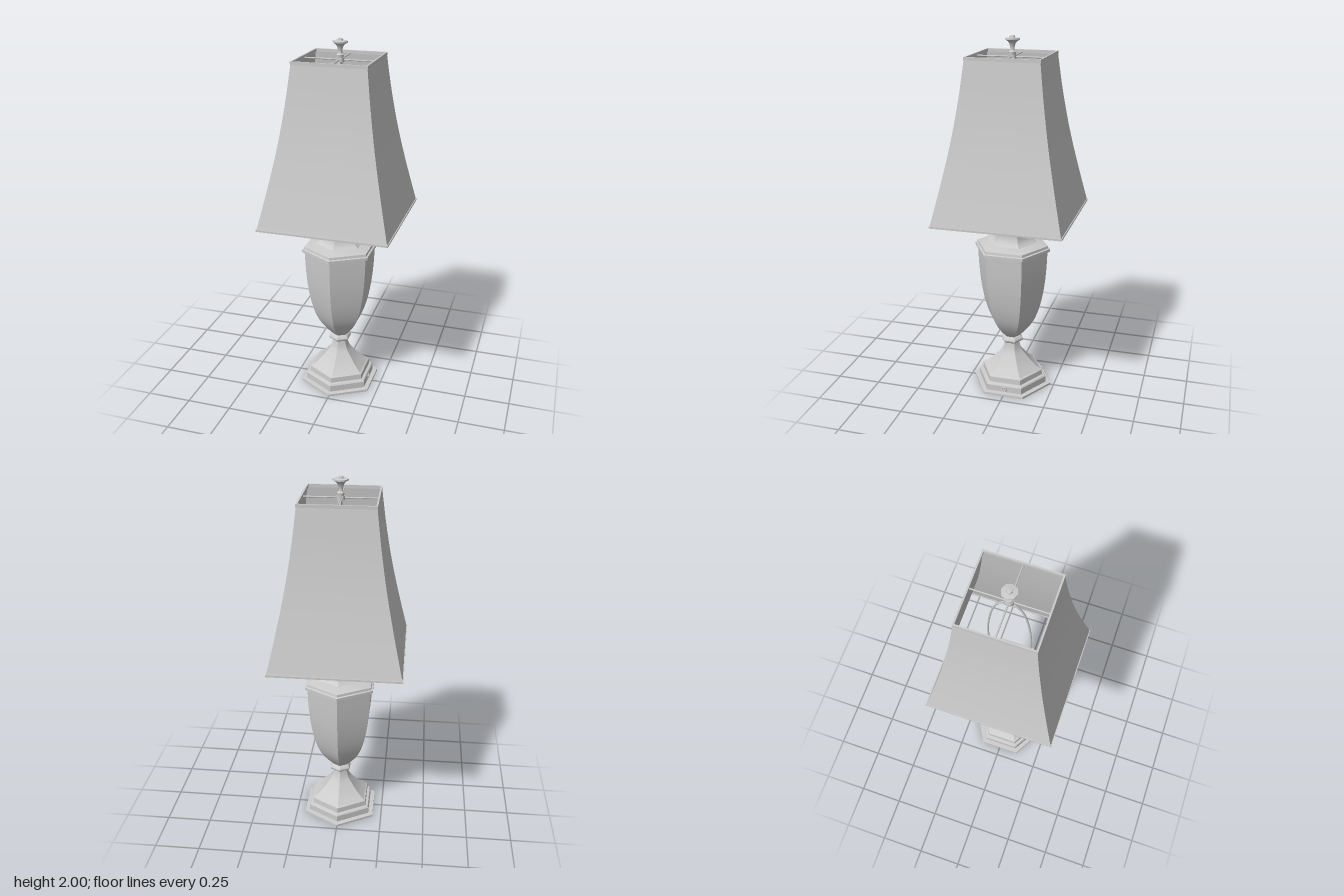
import * as THREE from 'three';
import { toCreasedNormals } from 'three/addons/utils/BufferGeometryUtils.js';

const material = new THREE.MeshStandardMaterial({ color: 0xcccccc });
const thin = new THREE.MeshStandardMaterial({ color: 0xcccccc, side: THREE.DoubleSide });

function add(parent, name, geometry, mat = material) {
  const mesh = new THREE.Mesh(geometry, mat);
  mesh.name = name;
  parent.add(mesh);
  return mesh;
}

// Smooth run of profile points through a few [halfWidth, y] pairs
const curve = (pairs, n) =>
  new THREE.SplineCurve(pairs.map(([r, y]) => new THREE.Vector2(r, y))).getPoints(n).map(p => [p.x, p.y]);

// Turned shape with flat sides; widths are measured to the middle of a side
function prism(pairs, sides, start = 0, crease = 0.5) {
  const k = 1 / Math.cos(Math.PI / sides);
  const points = pairs.map(([r, y]) => new THREE.Vector2(r * k, y));
  return toCreasedNormals(new THREE.LatheGeometry(points, sides, start), crease);
}

// Round turned shape
function turned(pairs, sides = 24) {
  const points = pairs.map(([r, y]) => new THREE.Vector2(r, y));
  return toCreasedNormals(new THREE.LatheGeometry(points, sides), 0.9);
}

// Rod through a list of points
function rod(points, radius, segments = 8) {
  const path = new THREE.CatmullRomCurve3(points.map(p => new THREE.Vector3(...p)));
  return new THREE.TubeGeometry(path, segments, radius, 8);
}

export function createModel() {
  const lamp = new THREE.Group();
  lamp.name = 'tableLamp';

  // Hexagonal foot: slab, two steps, then a sweep up to the stem
  add(lamp, 'foot', prism([
    [0, 0], [0.2, 0], [0.2, 0.012], [0.175, 0.014], [0.175, 0.05], [0.17, 0.057], [0.156, 0.06], [0.154, 0.09],
    ...curve([[0.147, 0.093], [0.108, 0.13], [0.072, 0.175], [0.047, 0.215], [0.036, 0.262]], 14), [0, 0.262],
  ], 6));

  // Collar between foot and urn
  add(lamp, 'collar', prism([
    [0, 0.255], [0.036, 0.255], ...curve([[0.043, 0.26], [0.055, 0.27], [0.055, 0.283], [0.043, 0.296]], 8), [0, 0.3],
  ], 6));

  // Urn body with its shoulder rim
  add(lamp, 'urn', prism([
    [0, 0.29], ...curve([[0.036, 0.295], [0.076, 0.345], [0.113, 0.41], [0.141, 0.5], [0.16, 0.61], [0.17, 0.72], [0.175, 0.833]], 20),
    [0.187, 0.835], [0.187, 0.85], [0.178, 0.853], [0.176, 0.866], [0.16, 0.87], [0.118, 0.882], [0, 0.882],
  ], 6));

  // Waisted neck and flared lip
  add(lamp, 'neck', prism([
    [0, 0.875], ...curve([[0.125, 0.878], [0.103, 0.9], [0.092, 0.935], [0.1, 0.97], [0.128, 0.997]], 14),
    [0.14, 1.0], [0.156, 1.008], [0.156, 1.02], [0.135, 1.024], [0.125, 1.038], [0.097, 1.045], [0, 1.045],
  ], 6));

  // Cord outlet in the foot
  const outlet = add(lamp, 'cordOutlet', new THREE.TorusGeometry(0.013, 0.004, 8, 16));
  outlet.rotation.y = Math.PI / 2;
  outlet.position.set(0.175, 0.03, 0);

  // Lamp socket on a short pipe
  add(lamp, 'socket', turned([
    [0, 1.04], [0.03, 1.04], [0.03, 1.05], [0.013, 1.055], [0.013, 1.09], [0.025, 1.1], [0.037, 1.115],
    [0.037, 1.15], [0.033, 1.155], [0.033, 1.22], [0.028, 1.225], [0.028, 1.19], [0, 1.19],
  ]));

  // Turn switch on the socket
  const stem = add(lamp, 'switchStem', new THREE.CylinderGeometry(0.006, 0.006, 0.05, 10));
  stem.rotation.z = Math.PI / 2;
  stem.position.set(-0.055, 1.135, 0);
  const key = add(lamp, 'switchKey', new THREE.SphereGeometry(0.016, 12, 8));
  key.scale.set(0.6, 0.45, 1.1);
  key.position.set(-0.083, 1.135, 0);

  // Harp: wire loop from the socket up to the finial, on a saddle
  add(lamp, 'harp', rod([
    [0, 1.08, -0.05], [0, 1.18, -0.065], [0, 1.4, -0.11], [0, 1.65, -0.1], [0, 1.82, -0.06], [0, 1.88, 0],
    [0, 1.82, 0.06], [0, 1.65, 0.1], [0, 1.4, 0.11], [0, 1.18, 0.065], [0, 1.08, 0.05],
  ], 0.005, 64));
  const saddle = add(lamp, 'harpSaddle', new THREE.BoxGeometry(0.024, 0.006, 0.11));
  saddle.position.y = 1.08;
  for (const side of [-1, 1]) {
    const ferrule = add(lamp, 'harpFerrule', new THREE.CylinderGeometry(0.01, 0.01, 0.045, 10));
    ferrule.position.set(0, 1.1, side * 0.053);
  }

  // Four-sided flared shade
  const q = Math.PI / 4;
  add(lamp, 'shade', prism(
    curve([[0.351, 1.045], [0.338, 1.1], [0.293, 1.3], [0.253, 1.5], [0.221, 1.7], [0.196, 1.9]], 24), 4, q), thin);
  const trim = (name, inner, outer, y0, y1) =>
    add(lamp, name, prism([[inner, y0], [outer, y0], [outer, y1], [inner, y1], [inner, y0]], 4, q));
  trim('bottomTrim', 0.347, 0.355, 1.038, 1.048);
  trim('topTrim', 0.19, 0.199, 1.888, 1.905);

  // Spider arms holding the shade
  add(lamp, 'spiderArmAcross', rod([[-0.193, 1.89, 0], [0, 1.89, 0], [0.193, 1.89, 0]], 0.004));
  add(lamp, 'spiderArmDeep', rod([[0, 1.89, -0.193], [0, 1.89, 0], [0, 1.89, 0.193]], 0.004));
  add(lamp, 'spiderHub', turned([[0, 1.878], [0.022, 1.878], [0.022, 1.9], [0, 1.9]], 16));

  // Finial with a flared cup and a small knob
  add(lamp, 'finial', turned([
    [0, 1.895], [0.018, 1.895], [0.02, 1.915], [0.012, 1.922], [0.011, 1.935], [0.016, 1.955], [0.025, 1.968],
    [0.04, 1.977], [0.04, 1.984], [0.015, 1.987], [0.013, 1.996], [0, 2.0],
  ], 8));

  return lamp;
}
